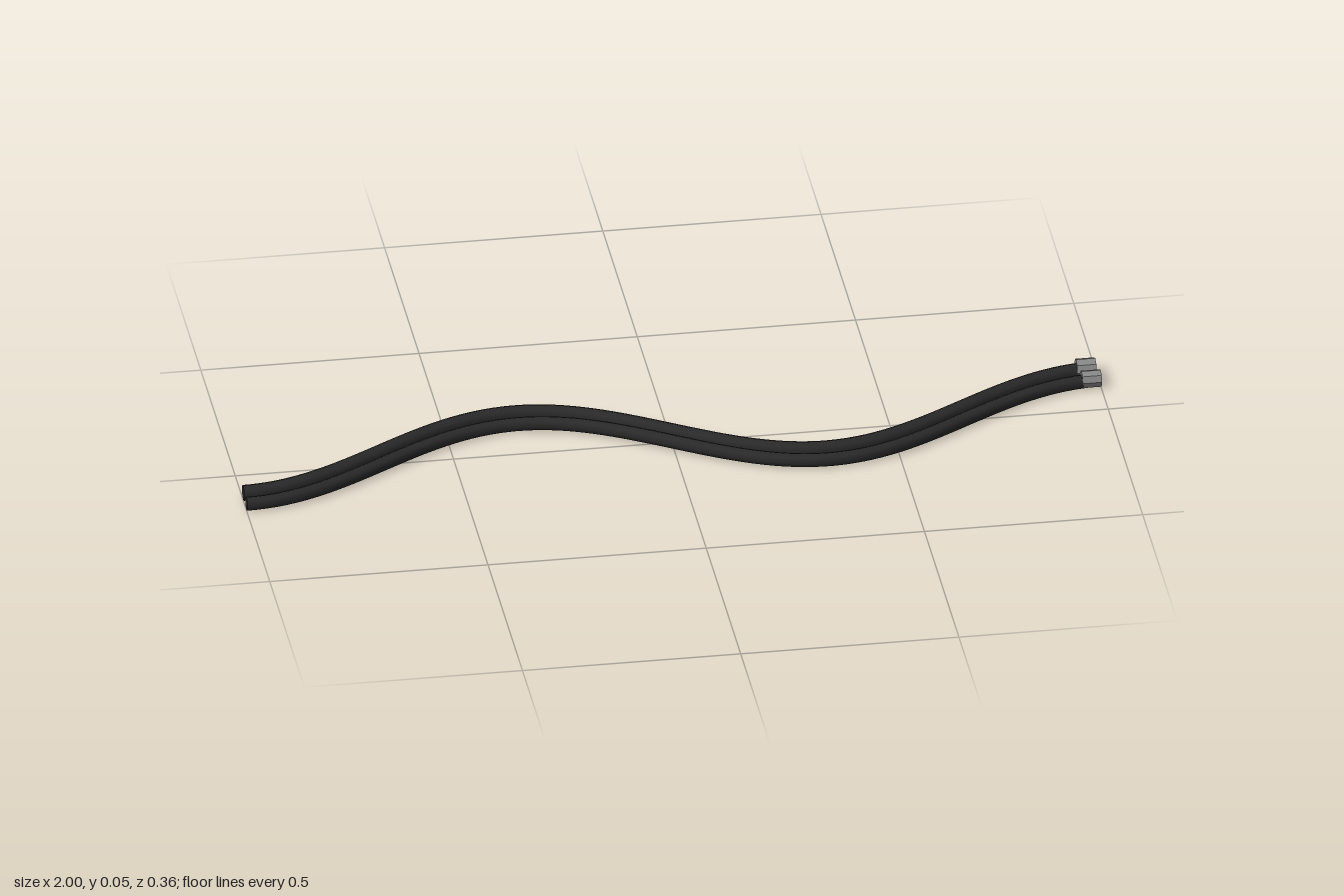
import * as THREE from 'three';

// Sine-shaped centreline lying on the ground, three half waves long
class WaveCurve extends THREE.Curve {
  constructor(offset, height) {
    super();
    this.offset = offset;
    this.height = height;
  }
  getPoint(t, target = new THREE.Vector3()) {
    const x = -1 + 1.985 * t;
    return target.set(x, this.height, this.offset + 0.136 * Math.cos(1.5 * Math.PI * (x + 1)));
  }
}

// One hose with a closed start and a metal fitting at its far end
function makeHose(name, offset, radius, fittingRadius, fittingX) {
  const hose = new THREE.Group();
  hose.name = name;
  const rubber = new THREE.MeshStandardMaterial({ color: 0x2a2a2a });
  const metal = new THREE.MeshStandardMaterial({ color: 0x888888, flatShading: true });
  const curve = new THREE.Group() && new WaveCurve(offset, radius);

  const tube = new THREE.Mesh(new THREE.TubeGeometry(curve, 96, radius, 8), rubber);
  tube.name = 'hoseTube';

  const end = new THREE.Mesh(new THREE.CircleGeometry(radius, 8), rubber);
  end.name = 'hoseEnd';
  end.rotation.y = -Math.PI / 2;
  end.position.copy(curve.getPoint(0));

  const fitting = new THREE.Mesh(
    new THREE.CylinderGeometry(fittingRadius, fittingRadius, 0.044, 8), metal);
  fitting.name = 'endFitting';
  fitting.rotation.z = Math.PI / 2;
  fitting.position.set(fittingX, fittingRadius, curve.getPoint(1).z);

  hose.add(tube, end, fitting);
  return hose;
}

export function createModel() {
  const model = new THREE.Group();
  model.name = 'hosePair';
  model.add(
    makeHose('thickHose', -0.021, 0.0187, 0.0232, 0.973),
    makeHose('thinHose', 0.026, 0.0163, 0.0205, 0.978),
  );
  return model;
}
